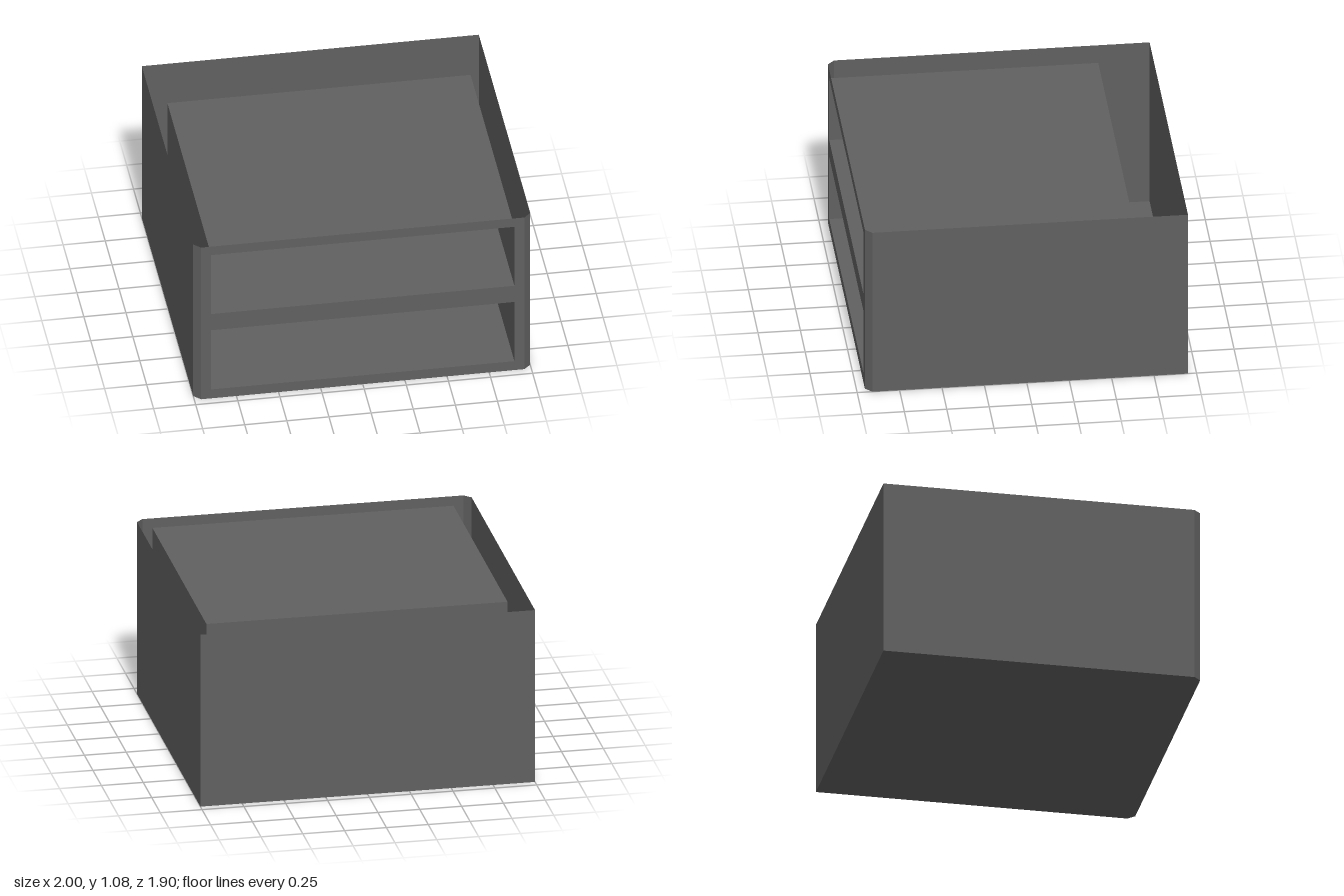
import * as THREE from 'three';

const W = 1, D = 0.95, H = 1.08, C = 0.04; // half width, half depth, height, corner chamfer

export function createModel() {
  const model = new THREE.Group();
  model.name = 'twoShelfCabinet';
  const grey = new THREE.MeshStandardMaterial({ color: 0x606060, side: THREE.DoubleSide });
  grey.name = 'dark grey';

  const add = (name, geometry) => {
    const mesh = new THREE.Mesh(geometry, grey);
    mesh.name = name;
    model.add(mesh);
    return mesh;
  };

  // Plan outline (x, z), running from the front right corner around the back
  const plan = [[-W + C, D], [-W, D - C], [-W, -D], [W, -D], [W, D - C], [W - C, D]];

  // Thin side, back and chamfer walls, open at the top
  const names = ['rightChamfer', 'rightWall', 'backWall', 'leftWall', 'leftChamfer'];
  names.forEach((name, i) => {
    const [x0, z0] = plan[i], [x1, z1] = plan[i + 1];
    const wall = new THREE.PlaneGeometry(Math.hypot(x1 - x0, z1 - z0), H);
    wall.rotateY(Math.atan2(z1 - z0, -(x1 - x0)) + Math.PI);
    wall.rotateY(Math.PI);
    wall.translate((x0 + x1) / 2, H / 2, (z0 + z1) / 2);
    add(name, wall);
  });

  // Base plate
  const base = new THREE.Shape(plan.map(([x, z]) => new THREE.Vector2(x, z)));
  add('base', new THREE.ShapeGeometry(base).rotateX(Math.PI / 2));

  // Front panel with one opening per compartment
  const w = 0.9, back = -0.636;
  const openings = [['lower', 0.063, 0.485], ['upper', 0.6, 1.02]];
  const rect = (Type, x, y0, y1) => new Type([[-x, y0], [x, y0], [x, y1], [-x, y1]]
    .map(([px, py]) => new THREE.Vector2(px, py)));
  const front = rect(THREE.Shape, W - C, 0, H);
  openings.forEach(([, y0, y1]) => front.holes.push(rect(THREE.Path, w, y0, y1)));
  add('frontPanel', new THREE.ShapeGeometry(front).translate(0, 0, D));

  // Compartments: thin boxes without their front face
  openings.forEach(([name, y0, y1]) => {
    const box = new THREE.BoxGeometry(w * 2, y1 - y0, D - back);
    const index = Array.from(box.index.array);
    index.splice(24, 6);
    box.setIndex(index);
    box.clearGroups();
    box.translate(0, (y0 + y1) / 2, (D + back) / 2);
    add(name + 'Compartment', box);
  });

  return model;
}
